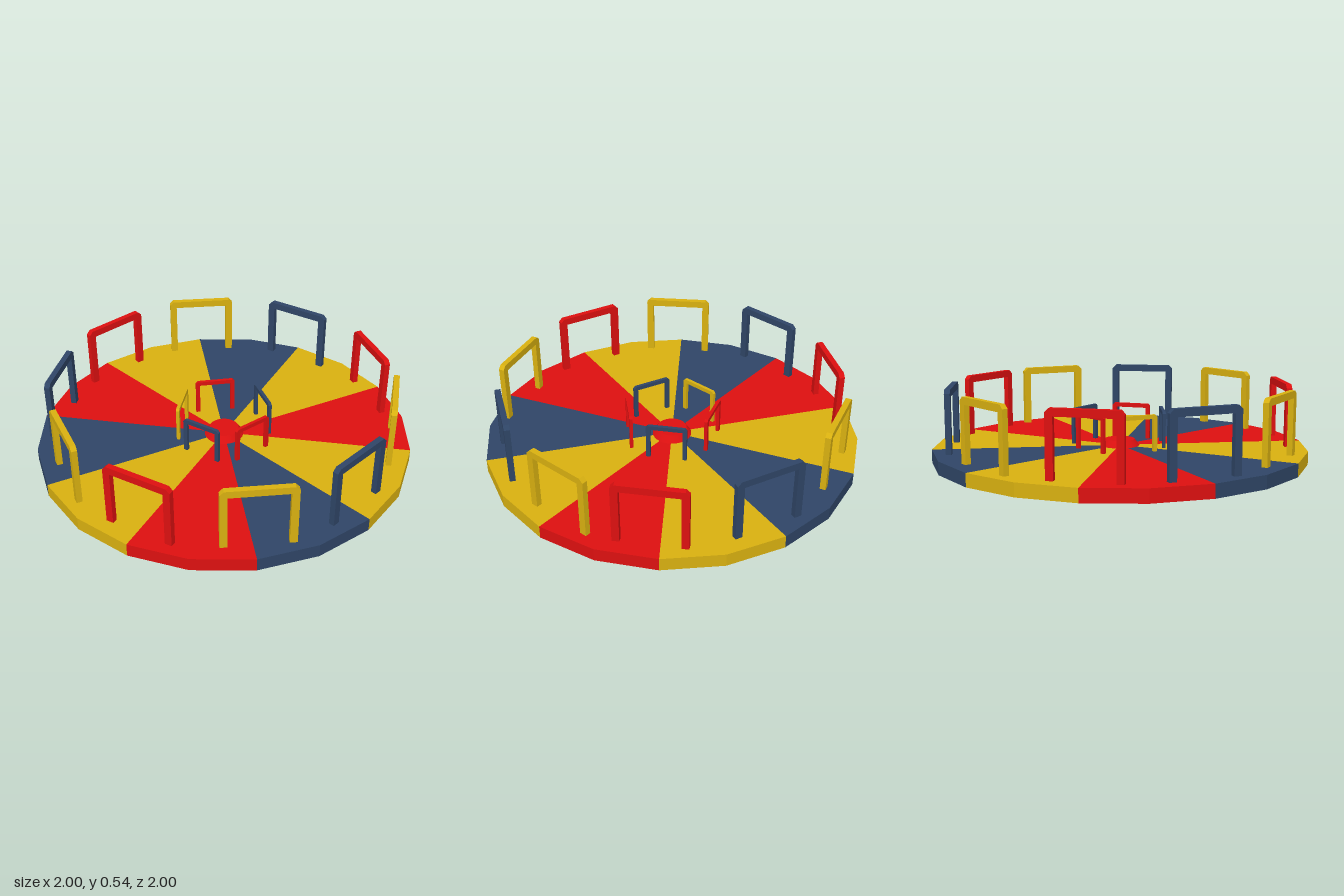
import * as THREE from 'three';

const paint = (color) => new THREE.MeshStandardMaterial({ color, flatShading: true });
const R = paint(0xdc1010), Y = paint(0xd8b010), N = paint(0x2f4566);

// Upside-down U bar with chamfered shoulders, standing on y = 0
function hoopGeometry() {
  const w = 0.185, h = 0.335, bar = 0.038, c = 0.02, depth = 0.03;
  const shape = new THREE.Shape([
    [-w, 0], [-w + bar, 0], [-w + bar, h - bar], [w - bar, h - bar], [w - bar, 0],
    [w, 0], [w, h - c], [w - c, h], [-w + c, h], [-w, h - c],
  ].map(([x, y]) => new THREE.Vector2(x, y)));
  return new THREE.ExtrudeGeometry(shape, { depth, bevelEnabled: false }).translate(0, 0, -depth / 2);
}

export function createModel() {
  const model = new THREE.Group();
  const deckTop = 0.2, deckBottom = 0.13;

  // Deck: ten coloured wedges of two rim facets each, going round from +x towards +z
  const deck = new THREE.Group();
  deck.name = 'deck';
  const step = Math.PI / 5;
  [Y, N, R, Y, N, R, Y, N, Y, R].forEach((material, i) => {
    const wedge = new THREE.Mesh(
      new THREE.CylinderGeometry(1, 1, deckTop - deckBottom, 2, 1, false, Math.PI / 2 - (i + 1) * step, step),
      material);
    wedge.position.y = (deckTop + deckBottom) / 2;
    wedge.name = 'deckWedge';
    deck.add(wedge);
  });
  model.add(deck);

  // Central post below the deck and tapered cap above it
  const smoothRed = new THREE.MeshStandardMaterial({ color: 0xdc1010 });
  const post = new THREE.Mesh(new THREE.CylinderGeometry(0.105, 0.105, deckTop, 32), smoothRed);
  post.position.y = deckTop / 2;
  post.name = 'post';
  const cap = new THREE.Mesh(new THREE.CylinderGeometry(0.08, 0.105, 0.035, 32), smoothRed);
  cap.position.y = deckTop + 0.0175;
  cap.name = 'postCap';
  model.add(post, cap);

  // Handrails: each is placed between two end points (x1, z1) and (x2, z2) on the deck
  const hoop = hoopGeometry();
  const addRails = (name, scale, rails) => {
    const group = new THREE.Group();
    group.name = name + 's';
    for (const [material, x1, z1, x2, z2] of rails) {
      const rail = new THREE.Mesh(hoop, material);
      rail.name = name;
      rail.scale.setScalar(scale);
      rail.position.set((x1 + x2) / 2, deckTop, (z1 + z2) / 2);
      rail.rotation.y = -Math.atan2(z2 - z1, x2 - x1);
      group.add(rail);
    }
    model.add(group);
  };
  addRails('outerHandrail', 1, [
    [Y, 0.893, -0.22, 0.888, 0.15],
    [N, 0.84, 0.355, 0.63, 0.655],
    [Y, 0.48, 0.79, 0.12, 0.89],
    [R, -0.44, 0.785, -0.09, 0.915],
    [Y, -0.815, 0.385, -0.61, 0.69],
    [N, -0.885, -0.18, -0.905, 0.19],
    [R, -0.61, -0.665, -0.84, -0.37],
    [Y, -0.1, -0.895, -0.455, -0.8],
    [N, 0.13, -0.91, 0.475, -0.765],
    [R, 0.66, -0.645, 0.84, -0.33],
  ]);
  addRails('innerHandrail', 0.58, [
    [Y, -0.225, -0.11, -0.232, 0.1],
    [R, -0.187, -0.175, 0.02, -0.243],
    [N, 0.14, -0.215, 0.245, -0.028],
    [R, 0.245, 0.075, 0.1, 0.232],
    [N, -0.182, 0.173, 0.016, 0.256],
  ]);
  return model;
}
